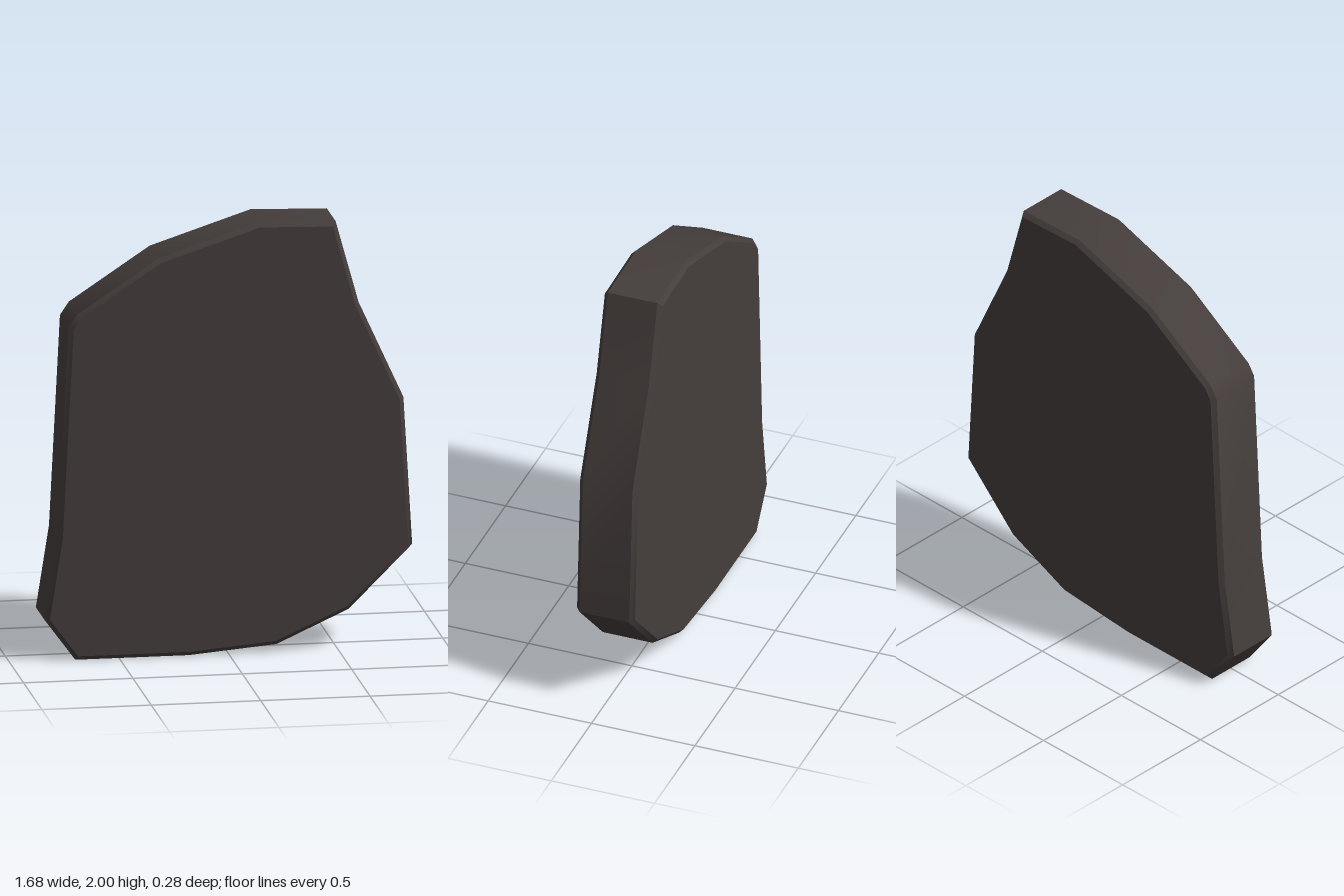
import * as THREE from 'three';
import { toCreasedNormals } from 'three/addons/utils/BufferGeometryUtils.js';

export function createModel() {
  const group = new THREE.Group();
  group.name = 'stoneSlab';

  const darkStone = new THREE.MeshStandardMaterial({ color: 0x443d3b });
  darkStone.name = 'darkStone';

  // Irregular slab outline, counter-clockwise from the lower left
  const outline = [
    [-0.70, 0], [-0.18, 0], [0.22, 0.035], [0.55, 0.185], [0.84, 0.475],
    [0.80, 1.16], [0.595, 1.61], [0.49, 1.99], [0.14, 2], [-0.32, 1.85],
    [-0.69, 1.605], [-0.73, 1.545], [-0.78, 0.57], [-0.84, 0.19],
  ].map(([x, y]) => new THREE.Vector2(x, y));

  // Thick plate with a narrow chamfer kept inside the outline
  const thickness = 0.28, chamfer = 0.02;
  const plate = new THREE.ExtrudeGeometry(new THREE.Shape(outline), {
    depth: thickness - 2 * chamfer,
    bevelEnabled: true,
    bevelThickness: chamfer,
    bevelSize: chamfer,
    bevelOffset: -chamfer,
    bevelSegments: 1,
  });
  plate.translate(0, 0, chamfer - thickness / 2);
  plate.clearGroups();

  // Gentle bends in the rim are smooth, the chamfer and sharp corners are crisp
  const slab = new THREE.Mesh(toCreasedNormals(plate, 0.65), darkStone);
  slab.name = 'slab';
  group.add(slab);

  return group;
}
